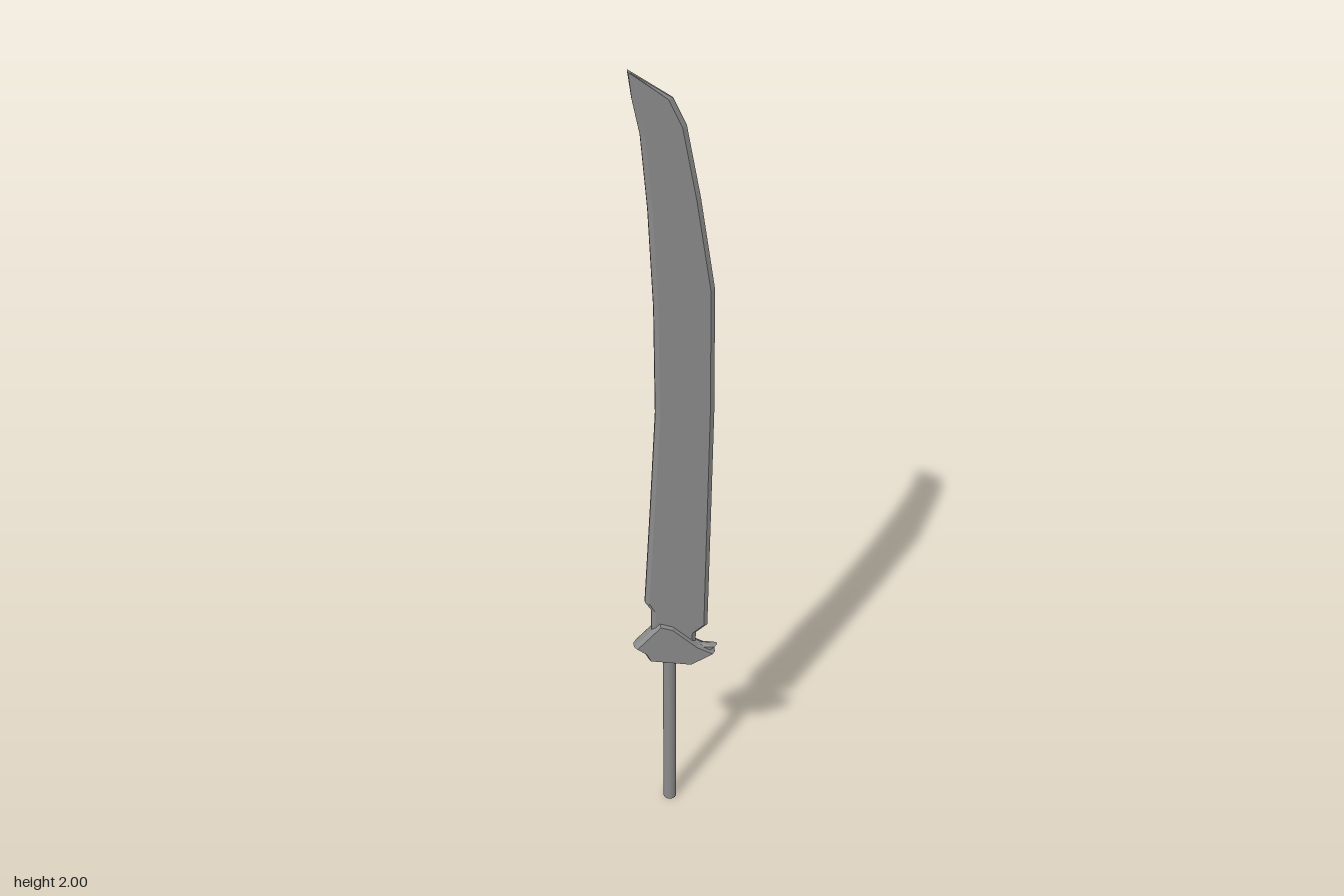
import * as THREE from 'three';

const DARK_GREY = 0x8a8a8a;
const flatMaterial = new THREE.MeshStandardMaterial({ color: DARK_GREY, flatShading: true });
const smoothMaterial = new THREE.MeshStandardMaterial({ color: DARK_GREY });

function addPart(group, name, geometry, material = flatMaterial) {
  const mesh = new THREE.Mesh(geometry, material);
  mesh.name = name;
  group.add(mesh);
  return mesh;
}

// Outline with chamfered rim, centred on z = 0
function chamferedPlate(points, halfDepth, rim, inset) {
  const shape = new THREE.Shape(points.map(([x, y]) => new THREE.Vector2(x, y)));
  const geometry = new THREE.ExtrudeGeometry(shape, {
    depth: rim * 2,
    bevelThickness: halfDepth - rim,
    bevelSize: inset,
    bevelOffset: -inset,
    bevelSegments: 1,
  });
  return geometry.translate(0, 0, -rim);
}

// Each station spans spine point to edge point; both sides are narrowly bevelled
function bladeGeometry(stations) {
  const positions = [];
  const index = [];
  const n = 8;
  for (const [sx, sy, ex, ey, t] of stations) {
    const width = Math.hypot(ex - sx, ey - sy);
    const a = Math.min(0.01 / width, 0.3);
    const section = [
      [0, 0.4], [a, 1], [1 - a, 1], [1, 0.3],
      [1, -0.3], [1 - a, -1], [a, -1], [0, -0.4],
    ];
    for (const [u, z] of section) {
      positions.push(sx + (ex - sx) * u, sy + (ey - sy) * u, z * t);
    }
  }
  for (let r = 0; r < stations.length - 1; r++) {
    for (let i = 0; i < n; i++) {
      const a = r * n + i;
      const b = r * n + (i + 1) % n;
      index.push(a, b, b + n, a, b + n, a + n);
    }
  }
  // End caps: the section runs clockwise seen from below the blade tip
  const last = (stations.length - 1) * n;
  for (let i = 1; i < n - 1; i++) {
    index.push(0, i + 1, i, last, last + i, last + i + 1);
  }
  const geometry = new THREE.BufferGeometry();
  geometry.setAttribute('position', new THREE.Float32BufferAttribute(positions, 3));
  geometry.setIndex(index);
  const flat = geometry.toNonIndexed();
  flat.computeVertexNormals();
  return flat;
}

export function createModel() {
  const group = new THREE.Group();
  group.name = 'sword';

  // Curved blade: spine x, spine y, edge x, edge y, half thickness
  addPart(group, 'blade', bladeGeometry([
    [-0.055, 0.50, 0.048, 0.49, 0.010],
    [-0.060, 0.57, 0.048, 0.538, 0.010],
    [-0.060, 0.62, 0.076, 0.56, 0.010],
    [-0.075, 0.645, 0.077, 0.62, 0.010],
    [-0.060, 0.92, 0.082, 0.92, 0.010],
    [-0.047, 1.18, 0.086, 1.18, 0.010],
    [-0.049, 1.45, 0.084, 1.49, 0.010],
    [-0.060, 1.69, 0.052, 1.71, 0.010],
    [-0.074, 1.86, 0.022, 1.876, 0.010],
    [-0.090, 1.94, -0.006, 1.937, 0.010],
    [-0.098, 2.00, -0.094, 1.998, 0.008],
  ]));

  // Angular guard
  addPart(group, 'guard', chamferedPlate([
    [-0.103, 0.512], [-0.077, 0.490], [-0.066, 0.467], [0.036, 0.444],
    [0.095, 0.477], [0.052, 0.506], [-0.008, 0.567], [-0.040, 0.580],
  ], 0.019, 0.008, 0.005));

  // Small spike beside the cutting edge
  addPart(group, 'guardSpike', chamferedPlate([
    [0.030, 0.475], [0.080, 0.475], [0.101, 0.494], [0.062, 0.502], [0.045, 0.516], [0.025, 0.520],
  ], 0.011, 0.002, 0.006));

  // Slim round handle
  const handle = addPart(group, 'handle', new THREE.CylinderGeometry(0.016, 0.016, 0.48, 16), smoothMaterial);
  handle.position.set(-0.016, 0.24, 0);

  return group;
}
